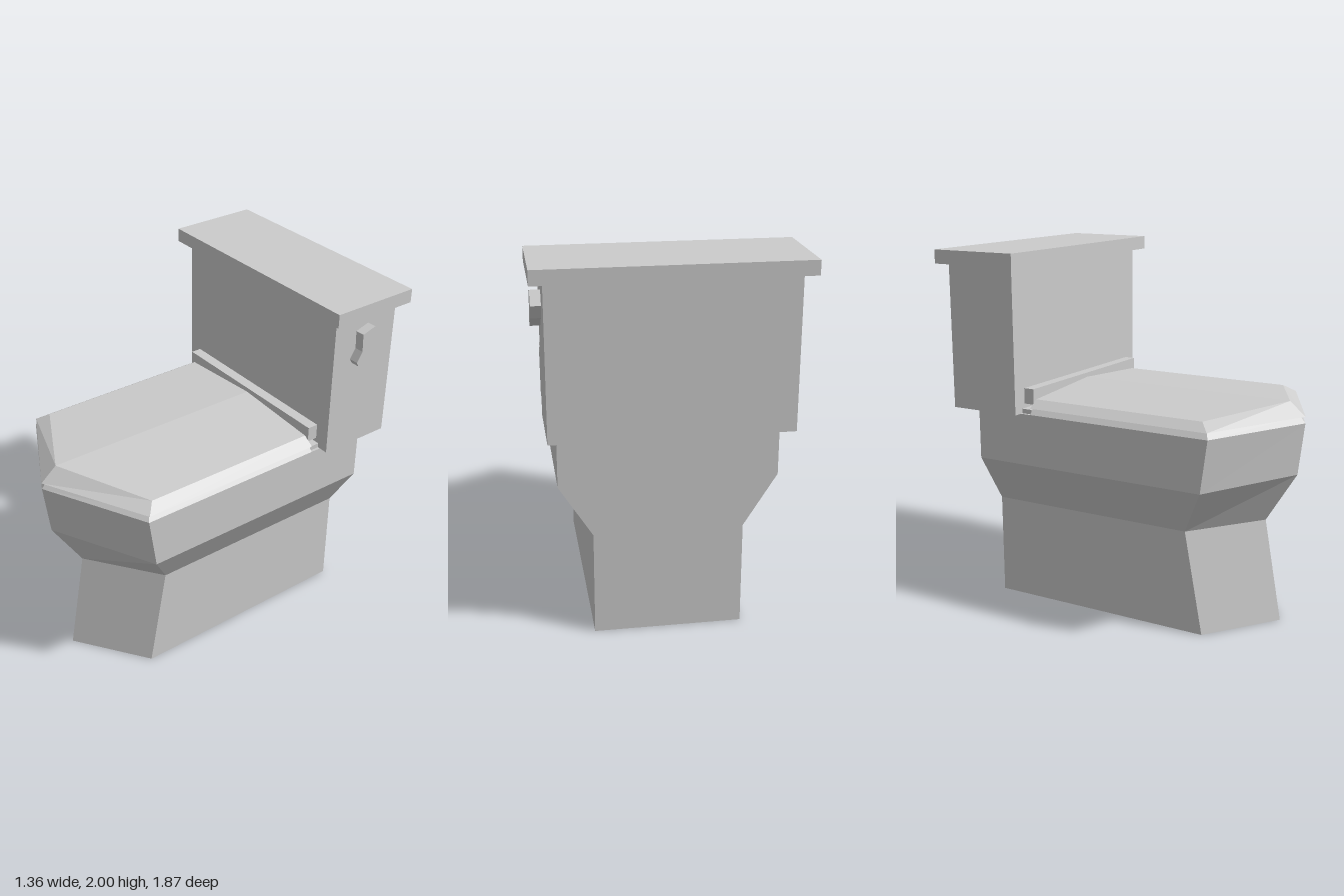
import * as THREE from 'three';

const material = new THREE.MeshStandardMaterial({ color: 0xcccccc, flatShading: true });

// Lofts pointed-front sections [y, half width, back z, side z, tip z, ridge y], bottom to top.
function loft(sections) {
  const rings = sections.map(([y, w, back, side, tip, ridge = y]) => [
    [0, ridge, back], [-w, y, back], [-w, y, side],
    [0, ridge, tip], [w, y, side], [w, y, back],
  ]);
  const n = 6, index = [];
  for (let r = 0; r < rings.length - 1; r++) {
    for (let i = 0; i < n; i++) {
      const a = r * n + i, b = r * n + (i + 1) % n;
      index.push(a, b, b + n, a, b + n, a + n);
    }
  }
  const top = (rings.length - 1) * n;
  for (let i = 1; i < n - 1; i++) {
    index.push(0, i + 1, i, top, top + i, top + i + 1);
  }
  const geometry = new THREE.BufferGeometry();
  geometry.setAttribute('position', new THREE.Float32BufferAttribute(rings.flat(2), 3));
  geometry.setIndex(index);
  const flat = geometry.toNonIndexed();
  flat.computeVertexNormals();
  return flat;
}

export function createModel() {
  const model = new THREE.Group();
  model.name = 'toilet';

  function add(name, geometry) {
    const mesh = new THREE.Mesh(geometry, material);
    mesh.name = name;
    model.add(mesh);
    return mesh;
  }

  // Box given by half width and its y and z limits
  function box(name, w, y0, y1, z0, z1) {
    add(name, new THREE.BoxGeometry(2 * w, y1 - y0, z1 - z0))
      .position.set(0, (y0 + y1) / 2, (z0 + z1) / 2);
  }

  // Pedestal flaring into the bowl
  add('bowl', loft([
    [0, 0.39, -0.765, 0.54, 0.825],
    [0.565, 0.39, -0.765, 0.435, 0.725],
    [0.845, 0.565, -0.765, 0.61, 0.90],
    [1.13, 0.565, -0.765, 0.65, 0.935],
  ]));

  // Bevelled seat and ridged lid
  add('seat', loft([
    [1.13, 0.565, -0.42, 0.65, 0.935],
    [1.165, 0.535, -0.42, 0.63, 0.905],
  ]));
  add('seatLid', loft([
    [1.165, 0.565, -0.42, 0.645, 0.935],
    [1.205, 0.505, -0.42, 0.59, 0.845, 1.24],
  ]));

  // Hinge behind the seat
  box('hingeBar', 0.53, 1.18, 1.265, -0.48, -0.42);
  box('hingeBase', 0.55, 1.13, 1.155, -0.48, -0.42);

  // Water tank
  box('tank', 0.615, 1.13, 1.925, -0.895, -0.48);
  box('tankLid', 0.68, 1.925, 2, -0.935, -0.43);

  // Flush lever, profile in (-z, y) extruded out from the tank side
  const profile = [
    [0.625, 1.825], [0.63, 1.725], [0.597, 1.67], [0.61, 1.645],
    [0.69, 1.705], [0.745, 1.78], [0.705, 1.85],
  ].map(([x, y]) => new THREE.Vector2(x, y));
  const lever = new THREE.ExtrudeGeometry(new THREE.Shape(profile), { depth: 0.055, bevelEnabled: false });
  lever.rotateY(Math.PI / 2);
  add('flushLever', lever).position.x = 0.612;

  return model;
}
